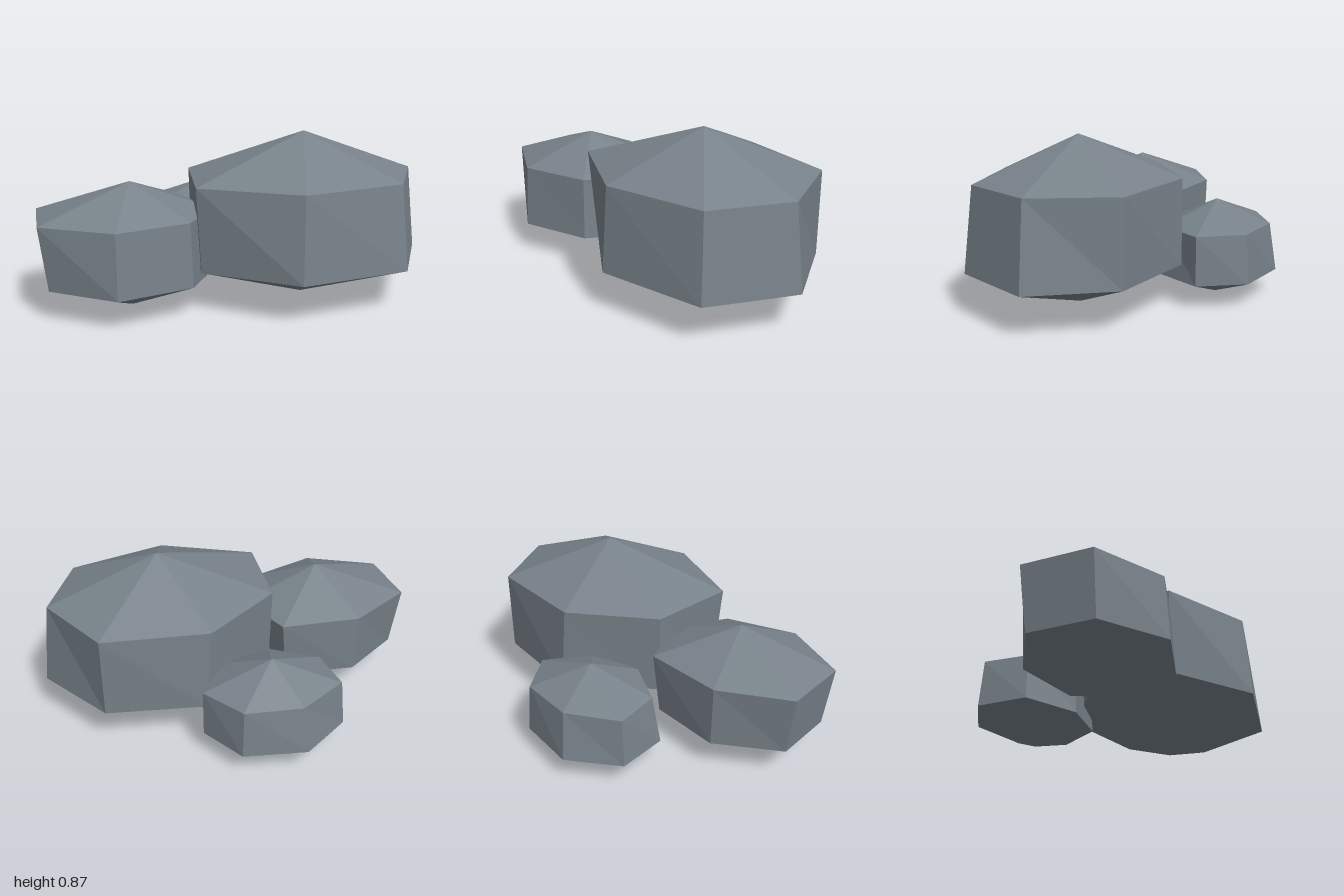
import * as THREE from 'three';

// Each boulder: apex position, total height, and seven [x, z] corners for its lower and upper rings.
const ROCKS = [
  {
    name: 'largeBoulder', x: 0.36, z: 0.19, height: 0.87,
    lower: [[1, 0.19], [0.78, 0.61], [0.21, 0.71], [-0.22, 0.41], [-0.19, -0.03], [0.25, -0.32], [0.76, -0.21]],
    upper: [[0.95, 0.19], [0.75, 0.57], [0.22, 0.68], [-0.25, 0.43], [-0.2, -0.04], [0.22, -0.31], [0.76, -0.22]],
  },
  {
    name: 'mediumBoulder', x: -0.54, z: 0.19, height: 0.65,
    lower: [[-0.11, 0.19], [-0.27, 0.46], [-0.65, 0.57], [-0.96, 0.355], [-0.96, 0.02], [-0.64, -0.17], [-0.26, -0.11]],
    upper: [[-0.12, 0.19], [-0.28, 0.445], [-0.65, 0.55], [-1, 0.36], [-1, 0], [-0.65, -0.18], [-0.23, -0.13]],
  },
  {
    name: 'smallBoulder', x: -0.06, z: -0.41, height: 0.505,
    lower: [[0.3, -0.41], [0.16, -0.18], [-0.13, -0.14], [-0.41, -0.28], [-0.41, -0.555], [-0.15, -0.715], [0.17, -0.645]],
    upper: [[0.3, -0.41], [0.14, -0.19], [-0.14, -0.145], [-0.37, -0.3], [-0.39, -0.545], [-0.13, -0.68], [0.16, -0.63]],
  },
];

// Faceted stone: bottom cone, band of side faces, top cone.
function boulderGeometry({ x, z, height, lower, upper }) {
  const positions = [];
  const tri = (...corners) => corners.forEach((c) => positions.push(...c));
  const ring = (points, y) => points.map(([px, pz]) => [px, y, pz]);
  const low = ring(lower, height * 0.25);
  const high = ring(upper, height * 0.75);
  const base = [x, 0, z];
  const apex = [x, height, z];
  for (let i = 0; i < low.length; i++) {
    const j = (i + 1) % low.length;
    tri(low[i], low[j], base);
    tri(low[i], high[i], high[j]);
    tri(low[i], high[j], low[j]);
    tri(high[i], apex, high[j]);
  }
  const geometry = new THREE.BufferGeometry();
  geometry.setAttribute('position', new THREE.Float32BufferAttribute(positions, 3));
  geometry.computeVertexNormals();
  return geometry;
}

export function createModel() {
  const group = new THREE.Group();
  group.name = 'boulderCluster';
  const stone = new THREE.MeshStandardMaterial({ color: 0x78828a, flatShading: true });
  stone.name = 'slate grey stone';
  for (const rock of ROCKS) {
    const mesh = new THREE.Mesh(boulderGeometry(rock), stone);
    mesh.name = rock.name;
    group.add(mesh);
  }
  return group;
}
